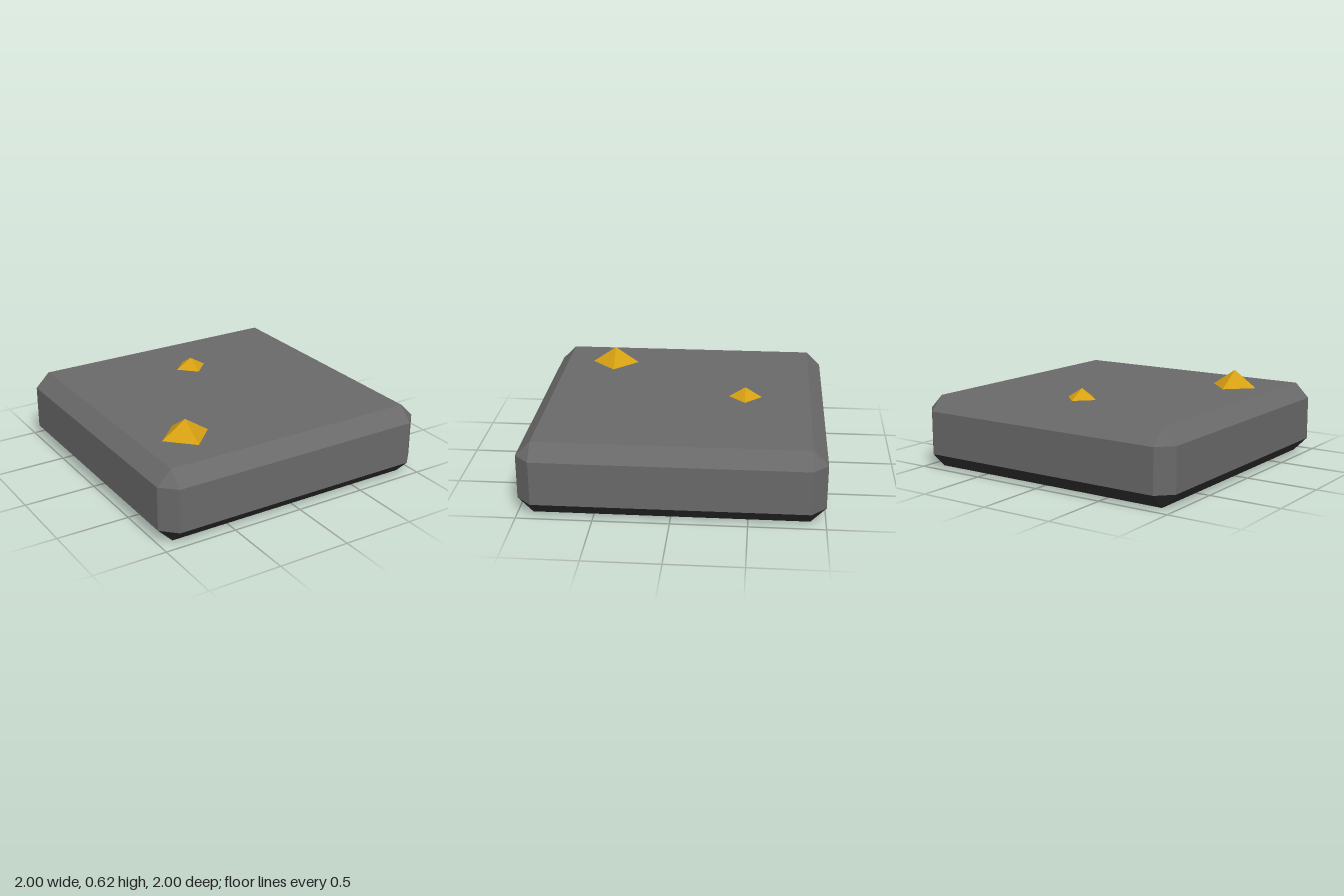
import * as THREE from 'three';
import { ConvexGeometry } from 'three/addons/geometries/ConvexGeometry.js';

function material(name, color) {
  const m = new THREE.MeshStandardMaterial({ color, flatShading: true });
  m.name = name;
  return m;
}

// Box with every edge cut at 45 degrees and triangular corners
function chamferedBox(half, height, cut) {
  const points = [];
  for (const x of [-1, 1]) for (const z of [-1, 1]) for (const top of [0, 1]) {
    const outer = half, inner = half - cut;
    const edgeY = top ? height : 0;
    const wallY = top ? height - cut : cut;
    points.push(
      new THREE.Vector3(x * inner, edgeY, z * inner),
      new THREE.Vector3(x * outer, wallY, z * inner),
      new THREE.Vector3(x * inner, wallY, z * outer),
    );
  }
  return new ConvexGeometry(points);
}

// Keep only the triangles that face downward, or all the others
function facesOf(geometry, downward) {
  const pos = geometry.getAttribute('position');
  const normal = geometry.getAttribute('normal');
  const kept = [];
  for (let i = 0; i < pos.count; i += 3) {
    if ((normal.getY(i) < -0.1) !== downward) continue;
    for (let j = i; j < i + 3; j++) kept.push(pos.getX(j), pos.getY(j), pos.getZ(j));
  }
  const part = new THREE.BufferGeometry();
  part.setAttribute('position', new THREE.Float32BufferAttribute(kept, 3));
  part.computeVertexNormals();
  return part;
}

export function createModel() {
  const group = new THREE.Group();
  group.name = 'stoneTile';
  const stone = material('stone grey', 0x696969);
  const underside = material('dark underside', 0x303030);
  const gold = material('gold', 0xd6a012);

  const add = (name, geometry, mat) => {
    const mesh = new THREE.Mesh(geometry, mat);
    mesh.name = name;
    group.add(mesh);
    return mesh;
  };

  // Slab: grey top and walls, dark lower bevels and bottom
  const slab = chamferedBox(1, 0.5, 0.1);
  add('slab', facesOf(slab, false), stone);
  add('slabUnderside', facesOf(slab, true), underside);

  // Four-sided gold nuggets set on the top
  const nuggets = [
    ['largeNugget', -0.59, 0.54, 0.17, 0.115],
    ['smallNugget', 0.035, -0.45, 0.115, 0.07],
  ];
  for (const [name, x, z, radius, height] of nuggets) {
    const nugget = add(name, new THREE.ConeGeometry(radius, height, 4, 1, true), gold);
    nugget.position.set(x, 0.5 + height / 2, z);
  }
  return group;
}
